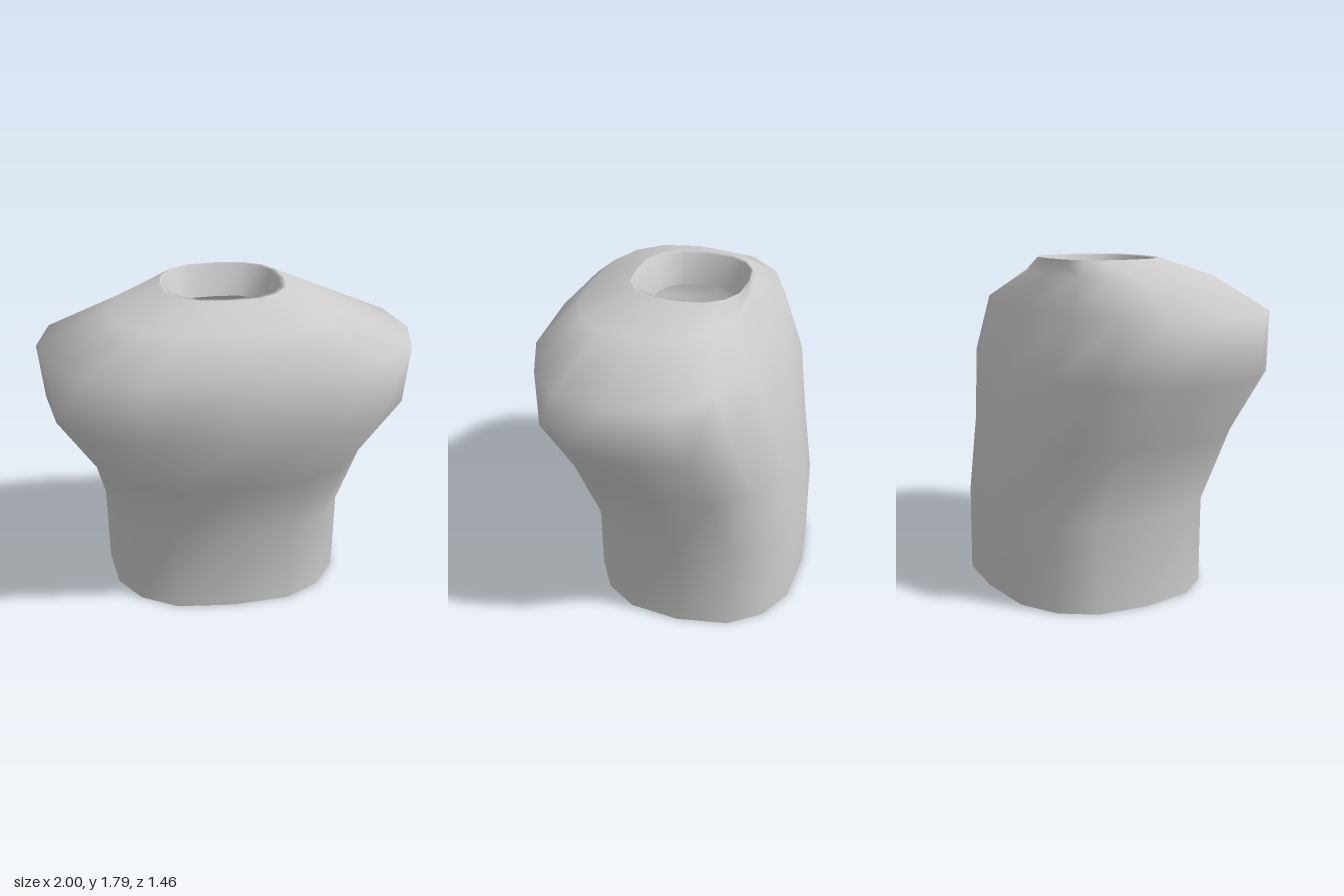
import * as THREE from 'three';

// Quarter outline shared by every cross-section: [side, depth] fractions
const QUARTER = [[0, 1], [0.47, 0.95], [0.76, 0.765], [0.94, 0.47], [1, 0]];

// Full closed outline: front, left side, back, right side
function outline() {
  const front = QUARTER;
  const back = QUARTER.slice(0, -1).reverse().map(([u, v]) => [u, -v]);
  const half = [...front, ...back];
  const mirrored = half.slice(1, -1).reverse().map(([u, v]) => [-u, v]);
  return [...half, ...mirrored];
}

// Loft through rings given as [y, halfWidth, frontZ, backZ]
function loft(rings) {
  const points = outline();
  const n = points.length;
  const positions = [];
  const index = [];
  for (const [y, w, front, back] of rings) {
    const mid = (front + back) / 2;
    const depth = (front - back) / 2;
    for (const [u, v] of points) positions.push(u * w, y, mid + v * depth);
  }
  for (let i = 0; i < rings.length - 1; i++) {
    for (let j = 0; j < n; j++) {
      const a = i * n + j;
      const b = i * n + ((j + 1) % n);
      index.push(a, b, b + n, a, b + n, a + n);
    }
  }
  const geometry = new THREE.BufferGeometry();
  geometry.setAttribute('position', new THREE.Float32BufferAttribute(positions, 3));
  geometry.setIndex(index);
  geometry.computeVertexNormals();
  return geometry;
}

export function createModel() {
  const group = new THREE.Group();
  group.name = 'torso';
  const grey = new THREE.MeshStandardMaterial({ color: 0xcccccc, side: THREE.DoubleSide });
  grey.name = 'light grey';

  const add = (name, rings) => {
    const mesh = new THREE.Mesh(loft(rings), grey);
    mesh.name = name;
    group.add(mesh);
  };

  // Open shell from waist through chest and shoulders to the neck rim
  add('body', [
    [0, 0.685, 0.46, -0.725],
    [0.48, 0.69, 0.46, -0.72],
    [0.87, 0.775, 0.61, -0.66],
    [1.21, 0.975, 0.73, -0.605],
    [1.53, 1.0, 0.705, -0.485],
    [1.7, 0.61, 0.52, -0.34],
    [1.79, 0.335, 0.275, -0.337],
  ]);

  // Neck opening: narrow lip, then a lining that tapers down into the shell
  add('neckLining', [
    [1.79, 0.335, 0.275, -0.337],
    [1.785, 0.31, 0.24, -0.33],
    [1.62, 0.26, 0.2, -0.255],
  ]);

  return group;
}
